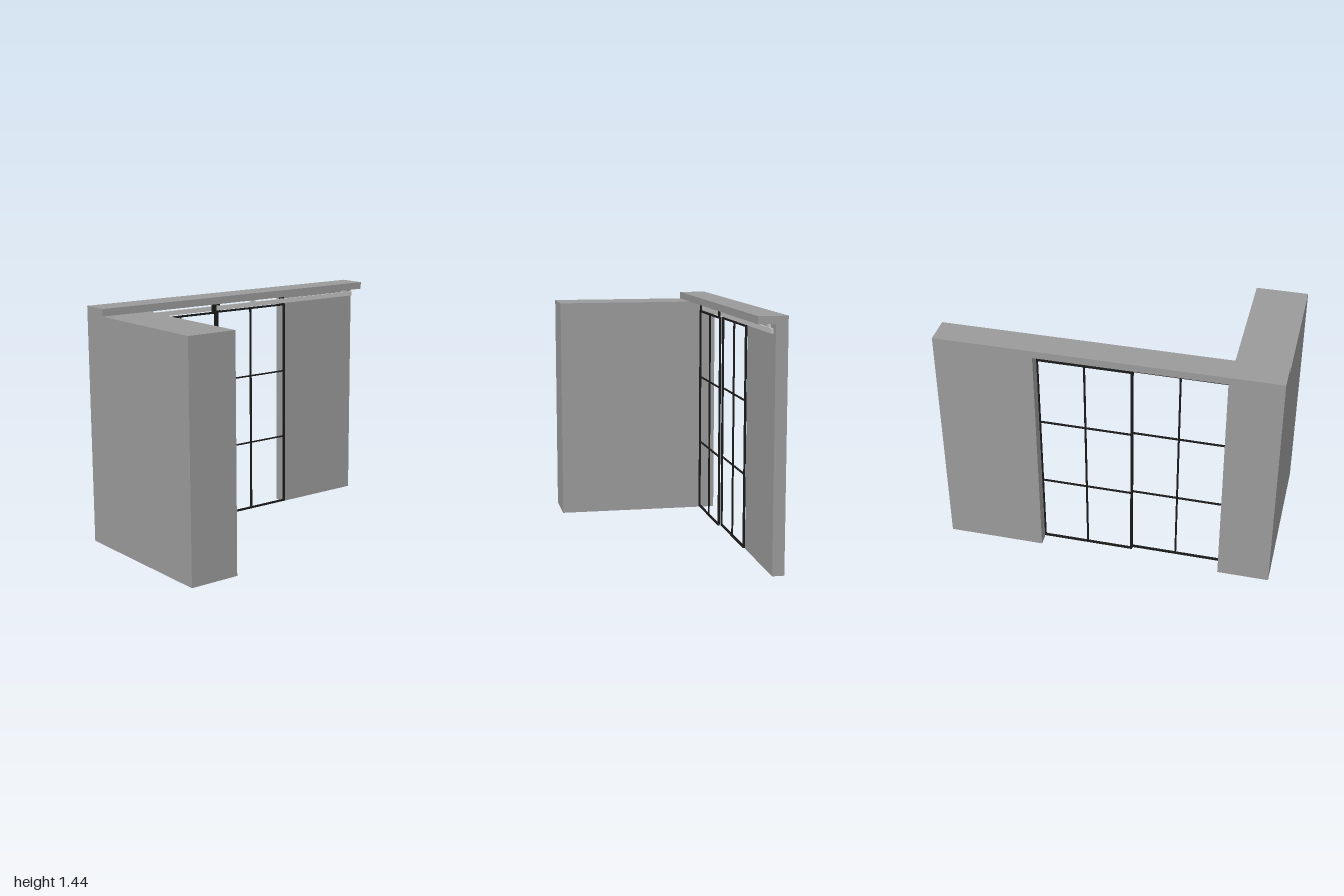
import * as THREE from 'three';

export function createModel() {
  const model = new THREE.Group();
  model.name = 'slidingDoorWall';

  const material = (name, color) => {
    const m = new THREE.MeshStandardMaterial({ color });
    m.name = name;
    return m;
  };
  const plaster = material('greyPlaster', 0x9a9a9a);
  const steel = material('blackSteel', 0x1a1a1a);
  const metal = material('lightMetal', 0xc4c4c4);

  // Box given by its two extreme corners
  const box = (parent, name, mat, x0, x1, y0, y1, z0, z1) => {
    const mesh = new THREE.Mesh(new THREE.BoxGeometry(x1 - x0, y1 - y0, z1 - z0), mat);
    mesh.position.set((x0 + x1) / 2, (y0 + y1) / 2, (z0 + z1) / 2);
    mesh.name = name;
    parent.add(mesh);
    return mesh;
  };

  const back = -0.515, wallFront = -0.445, wallTop = 1.398;

  // Walls and the beam across the opening
  box(model, 'sideWall', plaster, -1, -0.69, 0, wallTop, back, 0.515);
  box(model, 'backWall', plaster, 0.415, 1, 0, wallTop, back, wallFront);
  box(model, 'header', plaster, -1, 1, wallTop, 1.442, back, -0.345);

  // Rail hung from the header
  box(model, 'rail', metal, -0.69, 0.988, 1.346, 1.374, -0.434, -0.421);
  for (const x of [-0.62, 0.15, 0.92]) {
    box(model, 'railHanger', metal, x - 0.019, x + 0.019, 1.374, wallTop, -0.434, -0.421);
  }

  // Roller strap with a rounded head
  const addRoller = (parent, x, z) => {
    const roller = new THREE.Group();
    roller.name = 'roller';
    box(roller, 'strap', steel, x - 0.016, x + 0.016, 1.335, 1.38, z - 0.004, z + 0.004);
    const wheel = new THREE.Mesh(new THREE.CylinderGeometry(0.016, 0.016, 0.008, 24), steel);
    wheel.name = 'wheel';
    wheel.rotation.x = Math.PI / 2;
    wheel.position.set(x, 1.38, z);
    roller.add(wheel);
    parent.add(roller);
  };

  // Open grid door: stiles, rails and glazing bars
  const addDoor = (name, x0, x1, z, strapZ, rollers) => {
    const door = new THREE.Group();
    door.name = name;
    const y0 = 0.006, y1 = 1.34, w = 0.011, d = 0.006;
    for (const x of [x0, x1 - w]) box(door, 'stile', steel, x, x + w, y0, y1, z - d, z + d);
    for (const y of [y0, y1 - w]) box(door, 'doorRail', steel, x0 + w, x1 - w, y, y + w, z - d, z + d);
    const mid = (x0 + x1) / 2;
    box(door, 'verticalBar', steel, mid - 0.005, mid + 0.005, y0 + w, y1 - w, z - 0.005, z + 0.005);
    for (const y of [0.455, 0.896]) {
      box(door, 'crossBar', steel, x0 + w, x1 - w, y - 0.004, y + 0.004, z - 0.005, z + 0.005);
    }
    for (const x of rollers) addRoller(door, x, strapZ);
    model.add(door);
  };
  addDoor('frontDoor', -0.69, -0.131, -0.418, -0.416, [-0.665, -0.16]);
  addDoor('rearDoor', -0.142, 0.419, -0.437, -0.439, [-0.115, 0.394]);

  return model;
}
